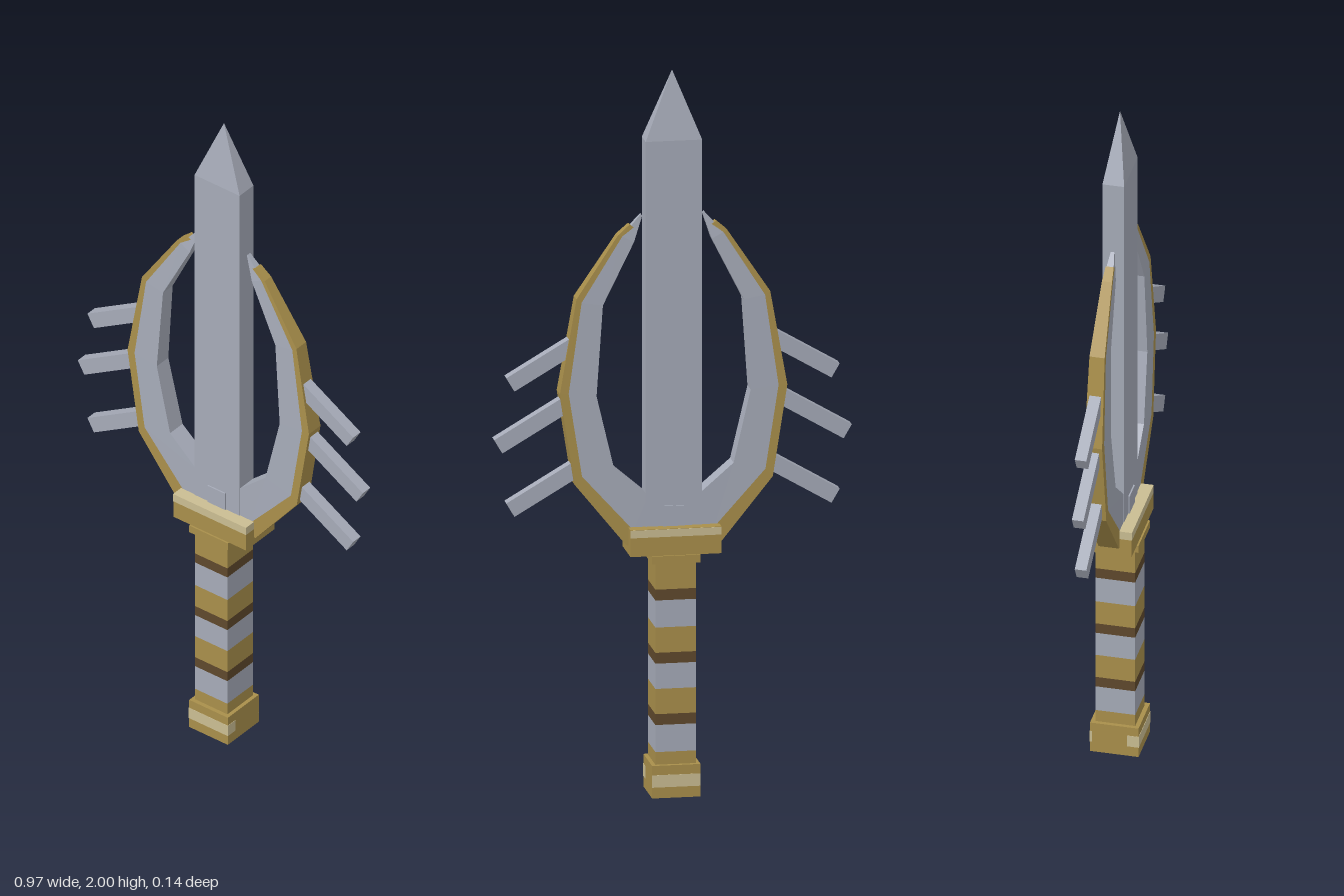
import * as THREE from 'three';

const mat = (name, color) => {
  const m = new THREE.MeshStandardMaterial({ color });
  m.name = name;
  return m;
};

// Faceted solid through a list of four-cornered rings running from top to bottom
function loft(rings) {
  const pos = [];
  const quad = (a, b, c, d) => pos.push(...a, ...b, ...c, ...a, ...c, ...d);
  for (let i = 0; i < rings.length - 1; i++) {
    const p = rings[i], q = rings[i + 1];
    for (let k = 0; k < 4; k++) {
      const n = (k + 1) % 4;
      quad(p[k], q[k], q[n], p[n]);
    }
  }
  quad(...rings[0]);
  quad(...[...rings[rings.length - 1]].reverse());
  const g = new THREE.BufferGeometry();
  g.setAttribute('position', new THREE.Float32BufferAttribute(pos, 3));
  g.computeVertexNormals();
  return g;
}

// Stations: [outer x, outer y, inner x, inner y, half thickness]; side mirrors in x
function wingStrip(stations, side) {
  return loft(stations.map(([ox, oy, ix, iy, t]) => {
    const ring = [
      [side * ox, oy, t], [side * ox, oy, -t],
      [side * ix, iy, -t], [side * ix, iy, t],
    ];
    return side > 0 ? ring : ring.reverse();
  }));
}

export function createModel() {
  const steel = mat('steel', 0xa6abb8);
  const gold = mat('gold', 0xa98f4b);
  const brown = mat('dark brown', 0x5f482c);
  const pale = mat('pale gold', 0xcabd92);

  const root = new THREE.Group();
  root.name = 'sword';
  const add = (name, geometry, material, parent = root) => {
    const m = new THREE.Mesh(geometry, material);
    m.name = name;
    parent.add(m);
    return m;
  };
  // Box centred on x, given by half width, y range and z range
  const block = (name, hx, y0, y1, z0, z1, material) => {
    const m = add(name, new THREE.BoxGeometry(hx * 2, y1 - y0, z1 - z0), material);
    m.position.set(0, (y0 + y1) / 2, (z0 + z1) / 2);
    return m;
  };

  // Blade with pyramid point
  block('blade', 0.077, 0.74, 1.81, -0.03, 0.03, steel);
  const tip = new THREE.ConeGeometry(0.077 * Math.SQRT2, 0.19, 4, 1, true)
    .rotateY(Math.PI / 4).scale(1, 1, 0.03 / 0.077).toNonIndexed();
  tip.computeVertexNormals();
  add('bladeTip', tip, steel).position.y = 1.905;
  block('bladeRoot', 0.03, 0.74, 0.8, -0.034, 0.034, steel);

  // Guard and collar
  block('guard', 0.124, 0.67, 0.744, -0.062, 0.062, gold);
  block('guardFrontTrim', 0.1245, 0.722, 0.746, 0, 0.063, pale);
  block('guardBackTrim', 0.124, 0.722, 0.743, -0.063, -0.058, pale);
  block('collar', 0.066, 0.648, 0.67, -0.067, 0.067, gold);

  // Banded grip
  const bands = [
    [0.09, gold], [0.125, steel], [0.2, brown], [0.23, gold], [0.3, steel],
    [0.37, brown], [0.4, gold], [0.47, steel], [0.545, brown], [0.575, gold], [0.648],
  ];
  for (let i = 0; i < bands.length - 1; i++) {
    block('gripBand' + (i + 1), 0.055, bands[i][0], bands[i + 1][0], -0.055, 0.055, bands[i][1]);
  }

  // Pommel
  block('pommel', 0.066, 0, 0.09, -0.067, 0.067, gold);
  block('pommelFrontTrim', 0.067, 0.03, 0.064, 0.035, 0.068, pale);
  block('pommelBackTrim', 0.066, 0.03, 0.064, -0.068, -0.062, pale);

  // Curved side wings: steel inner strip, gold outer rim
  const steelStations = [
    [0.086, 1.605, 0.082, 1.6, 0.005],
    [0.138, 1.547, 0.106, 1.53, 0.014],
    [0.25, 1.37, 0.192, 1.36, 0.021],
    [0.286, 1.12, 0.21, 1.11, 0.025],
    [0.25, 0.89, 0.163, 0.91, 0.027],
    [0.11, 0.735, 0.07, 0.83, 0.028],
    [0.07, 0.72, 0.05, 0.8, 0.028],
  ];
  const goldStations = [
    [0.118, 1.578, 0.106, 1.57, 0.011],
    [0.15, 1.55, 0.138, 1.547, 0.014],
    [0.264, 1.38, 0.25, 1.37, 0.021],
    [0.31, 1.12, 0.286, 1.12, 0.025],
    [0.27, 0.868, 0.25, 0.89, 0.027],
    [0.13, 0.695, 0.11, 0.735, 0.028],
    [0.07, 0.685, 0.07, 0.72, 0.028],
  ];
  // Spike end centres
  const spikes = [[0.443, 1.15], [0.476, 0.98], [0.443, 0.803]];
  const angle = 0.53, length = 0.22;

  for (const side of [1, -1]) {
    const wing = new THREE.Group();
    wing.name = side > 0 ? 'leftWing' : 'rightWing';
    root.add(wing);
    add('wingInner', wingStrip(steelStations, side), steel, wing);
    add('wingRim', wingStrip(goldStations, side), gold, wing);
    for (const [x, y] of spikes) {
      const s = add('spike', new THREE.BoxGeometry(length, 0.044, 0.032), steel, wing);
      s.position.set(
        side * (x - Math.cos(angle) * length / 2),
        y + Math.sin(angle) * length / 2, 0);
      s.rotation.z = -side * angle;
    }
  }
  return root;
}
